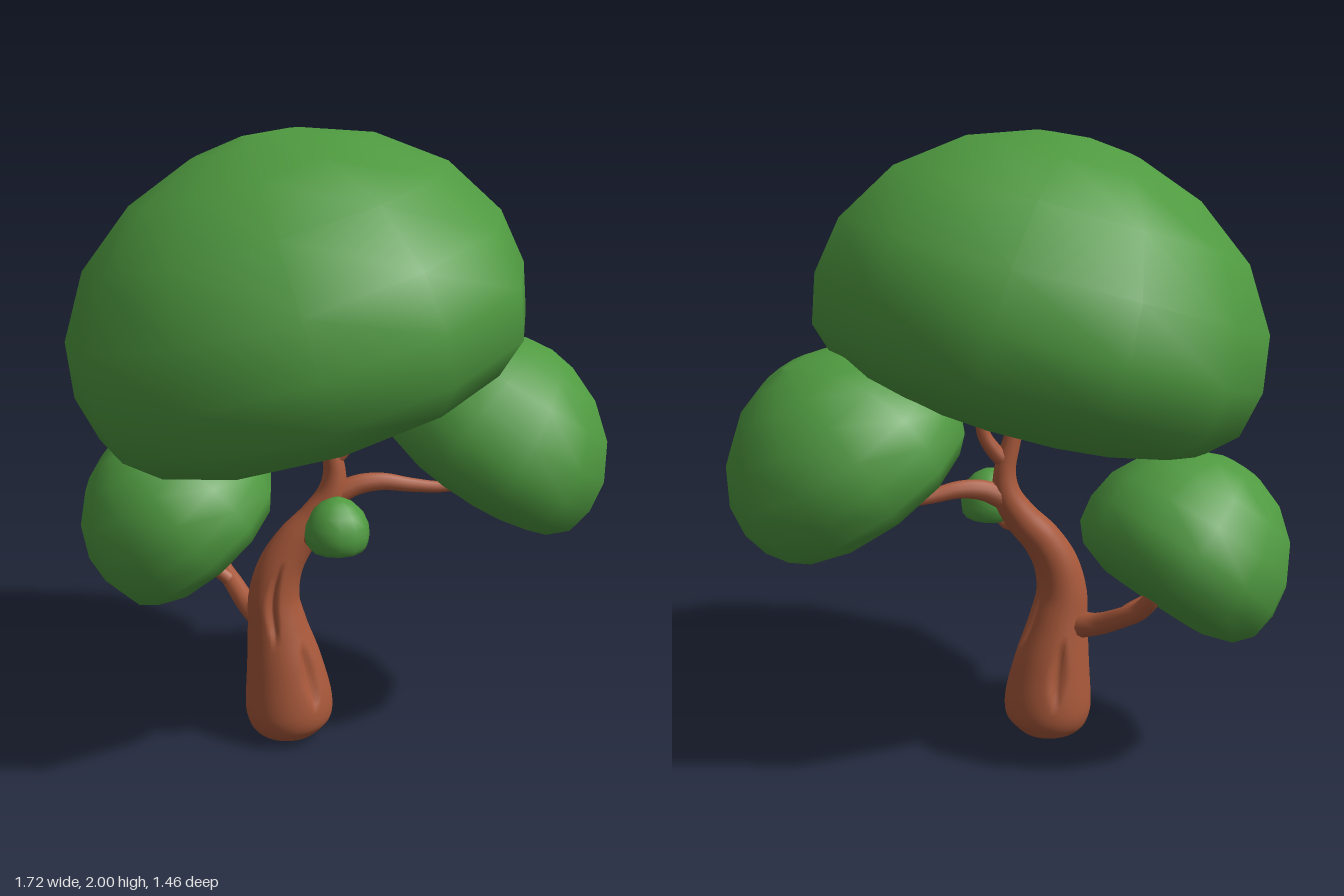
import * as THREE from 'three';

const leafGreen = new THREE.MeshStandardMaterial({ color: 0x4f9a40 });
const barkBrown = new THREE.MeshStandardMaterial({ color: 0xa8583a });
const DEG = Math.PI / 180;

// Shared dome profile [radius, height], flattened below, widest radius 0.73
const DOME = [
  [0, -0.315], [0.4, -0.31], [0.6, -0.255], [0.7, -0.16], [0.73, -0.01],
  [0.7, 0.165], [0.58, 0.355], [0.385, 0.5], [0.17, 0.578], [0, 0.6],
];

function foliage(name, pos, radius, heightScale, tilt, yaw = 0) {
  const geo = new THREE.LatheGeometry(DOME.map(([r, y]) => new THREE.Vector2(r, y)), 12);
  const mesh = new THREE.Mesh(geo, leafGreen);
  mesh.name = name;
  mesh.scale.set(radius / 0.73, heightScale, radius / 0.73);
  mesh.rotation.set(0, yaw * DEG, tilt * DEG, 'YXZ');
  mesh.position.set(...pos);
  return mesh;
}

// Bark grooves: angle from +x towards +z, centre height, half height
const GROOVES = [[98, 0.5, 0.14], [53, 0.24, 0.11], [0, 0.42, 0.14], [-80, 0.25, 0.11]];

function grooveDepth(angle, y) {
  let depth = 0;
  for (const [deg, cy, half] of GROOVES) {
    const v = 1 - ((y - cy) / half) ** 2;
    if (v <= 0) continue;
    const d = angle - deg * DEG;
    const off = Math.abs(Math.atan2(Math.sin(d), Math.cos(d)));
    depth = Math.max(depth, 0.022 * Math.sqrt(v) * Math.max(0, 1 - off / (0.24 * v + 0.01)));
  }
  return depth;
}

// Sweeps circles along a path; each node is [x, y, z, radius]
function limb(name, nodes, { sides = 10, steps = 6, ref = [0, 0, 1], grooved = false } = {}) {
  const path = new THREE.CatmullRomCurve3(nodes.map(n => new THREE.Vector3(n[0], n[1], n[2])));
  const radii = new THREE.SplineCurve(nodes.map((n, i) => new THREE.Vector2(i, n[3])));
  const axis = new THREE.Vector3(...ref);
  const rings = (nodes.length - 1) * steps;
  const pos = [], index = [];
  for (let i = 0; i <= rings; i++) {
    const p = path.getPoint(i / rings);
    const t = path.getTangent(i / rings);
    const u = t.clone().cross(axis).normalize();
    const v = u.clone().cross(t);
    const r = i === 0 || i === rings ? 0 : Math.max(0, radii.getPoint(i / rings).y);
    for (let j = 0; j < sides; j++) {
      const a = (j / sides) * Math.PI * 2;
      const rr = grooved ? Math.max(0, r - grooveDepth(a, p.y)) : r;
      const q = p.clone().addScaledVector(u, rr * Math.cos(a)).addScaledVector(v, rr * Math.sin(a));
      pos.push(q.x, q.y, q.z);
      if (i < rings) {
        const k = i * sides + j, n = i * sides + (j + 1) % sides;
        index.push(k, k + sides, n, n, k + sides, n + sides);
      }
    }
  }
  const geo = new THREE.BufferGeometry();
  geo.setAttribute('position', new THREE.Float32BufferAttribute(pos, 3));
  geo.setIndex(index);
  geo.computeVertexNormals();
  const mesh = new THREE.Mesh(geo, barkBrown);
  mesh.name = name;
  return mesh;
}

export function createModel() {
  const tree = new THREE.Group();
  tree.name = 'tree';

  // Leaning trunk that runs on into the crown
  tree.add(limb('trunk', [
    [-0.16, 0, 0, 0], [-0.16, 0.012, 0, 0.085], [-0.163, 0.055, 0, 0.133], [-0.165, 0.12, 0, 0.146],
    [-0.178, 0.25, 0, 0.128], [-0.2, 0.4, 0, 0.1], [-0.21, 0.5, 0, 0.085], [-0.19, 0.6, 0, 0.074],
    [-0.14, 0.69, 0, 0.064], [-0.07, 0.77, 0, 0.056], [-0.02, 0.85, 0, 0.047], [-0.01, 0.93, 0, 0.036],
    [-0.03, 1.02, 0, 0.03], [-0.06, 1.12, 0, 0.025], [-0.08, 1.2, 0, 0.022], [-0.082, 1.21, 0, 0],
  ], { sides: 72, steps: 8, grooved: true }));

  // Branches
  tree.add(limb('crownBranch', [
    [-0.02, 0.95, 0, 0], [-0.01, 0.965, 0, 0.025], [0.03, 1.01, 0, 0.025],
    [0.06, 1.06, 0, 0.022], [0.07, 1.13, 0, 0.02], [0.07, 1.2, 0, 0.018], [0.07, 1.21, 0, 0],
  ]));
  tree.add(limb('leftBranch', [
    [-0.04, 0.82, 0, 0], [-0.02, 0.835, 0, 0.035], [0.06, 0.875, 0, 0.034], [0.14, 0.885, 0, 0.03],
    [0.24, 0.87, 0, 0.024], [0.34, 0.86, 0, 0.019], [0.43, 0.87, 0, 0.016], [0.44, 0.872, 0, 0],
  ]));
  tree.add(limb('rightBranch', [
    [-0.22, 0.39, -0.02, 0], [-0.23, 0.395, -0.035, 0.045], [-0.29, 0.42, -0.12, 0.037],
    [-0.34, 0.47, -0.21, 0.033], [-0.375, 0.51, -0.27, 0.03], [-0.4, 0.57, -0.315, 0.027],
    [-0.405, 0.59, -0.325, 0.018], [-0.407, 0.595, -0.328, 0],
  ]));
  tree.add(limb('rightTwig', [
    [-0.34, 0.47, -0.2, 0], [-0.35, 0.48, -0.205, 0.022], [-0.4, 0.515, -0.22, 0.021],
    [-0.45, 0.54, -0.23, 0.019], [-0.47, 0.565, -0.235, 0.017], [-0.474, 0.57, -0.236, 0],
  ]));
  tree.add(limb('frontTwig', [
    [-0.11, 0.72, 0.02, 0], [-0.1, 0.718, 0.04, 0.022], [-0.075, 0.712, 0.1, 0.018],
    [-0.055, 0.715, 0.145, 0.018], [-0.045, 0.745, 0.17, 0.016], [-0.04, 0.78, 0.18, 0],
  ], { ref: [1, 0, 0] }));

  // Foliage clumps
  tree.add(foliage('crownFoliage', [-0.12, 1.4, 0], 0.73, 1, 16));
  tree.add(foliage('leftFoliage', [0.5, 1.015, 0], 0.39, 0.58, -33));
  tree.add(foliage('rightFoliage', [-0.51, 0.693, -0.29], 0.345, 0.57, 38, 8));
  tree.add(foliage('frontFoliage', [-0.02, 0.78, 0.185], 0.102, 0.195, 0));

  return tree;
}
